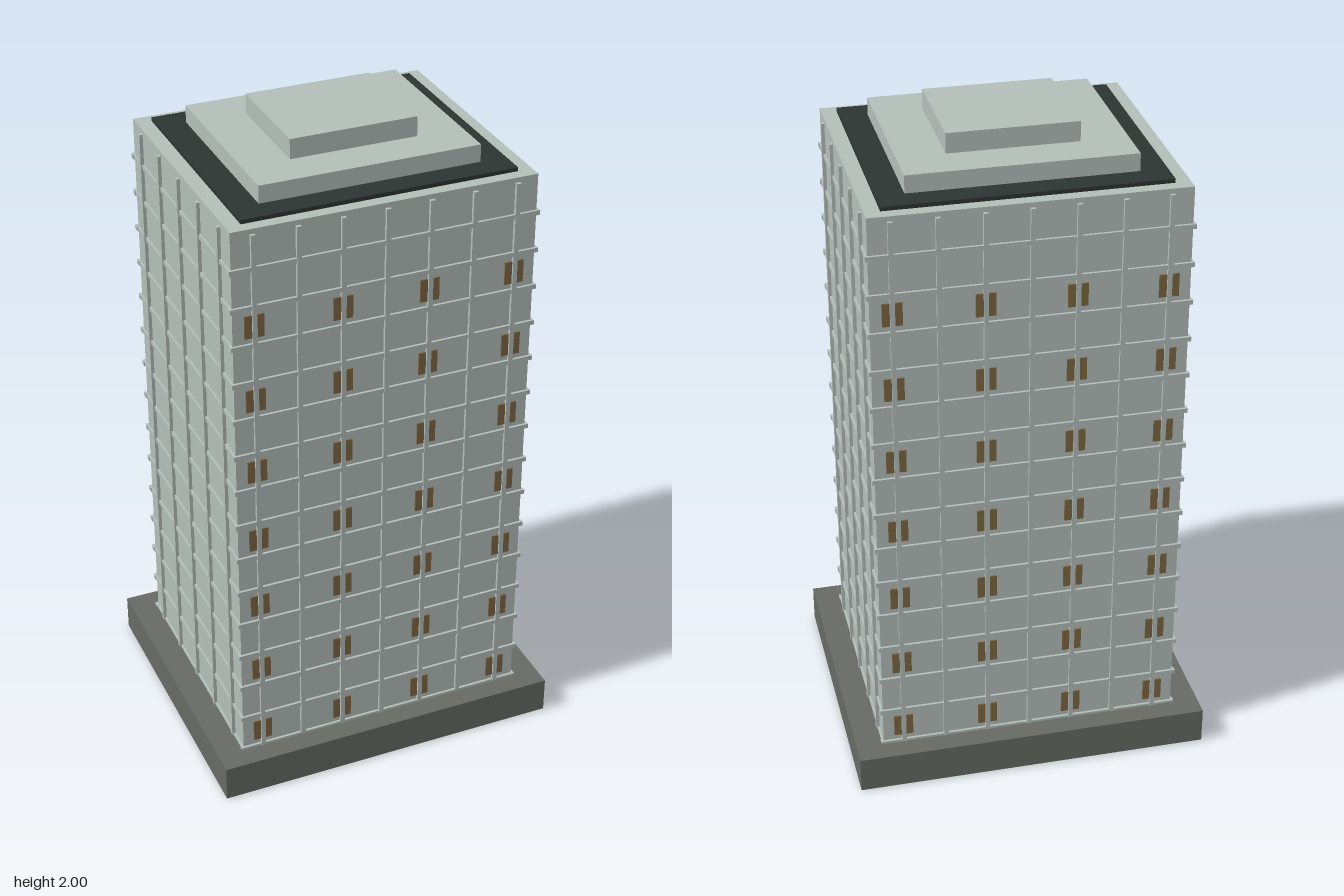
import * as THREE from 'three';

const W = 0.786, D = 0.912;          // tower footprint
const BASE_TOP = 0.115, TOP = 1.875; // wall foot and roof level
const FLOORS = 15, FLOOR = (TOP - BASE_TOP) / FLOORS;

export function createModel() {
  const wall = new THREE.MeshStandardMaterial({ color: 0xb4bfba });
  const stone = new THREE.MeshStandardMaterial({ color: 0x676b64 });
  const roofing = new THREE.MeshStandardMaterial({ color: 0x2d3533 });
  const bronze = new THREE.MeshStandardMaterial({ color: 0x7e6744 });
  wall.name = 'paleWall';
  stone.name = 'darkStone';
  roofing.name = 'darkRoofing';
  bronze.name = 'bronzeGlass';

  const building = new THREE.Group();
  building.name = 'building';

  // Box given by its size and the centre of its bottom face
  function box(name, material, [w, h, d], [x, y, z]) {
    const geometry = new THREE.BoxGeometry(w, h, d).translate(0, h / 2, 0);
    const mesh = new THREE.Mesh(geometry, material);
    mesh.name = name;
    mesh.position.set(x, y, z);
    building.add(mesh);
  }

  // Main masses; the tower shaft reaches down through the plinth
  box('plinth', stone, [0.933, BASE_TOP - 0.002, 1.082], [0, 0.002, 0]);
  box('tower', wall, [W, TOP, D], [0, 0, 0]);
  box('roofDeck', roofing, [0.714, 0.012, 0.822], [0, TOP, 0]);
  box('lowerPenthouse', wall, [0.57, 0.055, 0.662], [0, TOP + 0.01, 0]);
  box('upperPenthouse', wall, [0.332, 0.06, 0.383], [0, 1.94, 0]);

  for (const side of [-1, 1]) {
    // Vertical fins: five on the narrow faces, seven on the wide ones
    const finHeight = 1.86 - BASE_TOP;
    for (let i = -2; i <= 2; i++) {
      box('narrowFaceFin', wall, [0.014, finHeight, 0.02], [i * 0.158, BASE_TOP, side * D / 2]);
    }
    for (let i = -3; i <= 3; i++) {
      box('wideFaceFin', wall, [0.02, finHeight, 0.014], [side * W / 2, BASE_TOP, i * 0.131]);
    }

    // Floor bands
    for (let k = 0; k < FLOORS; k++) {
      const y = BASE_TOP + k * FLOOR - 0.007;
      box('narrowFaceBand', wall, [W + 0.004, 0.014, 0.012], [0, y, side * D / 2]);
      box('wideFaceBand', wall, [0.016, 0.014, D + 0.016], [side * W / 2, y, 0]);
    }

    // Bronze windows behind every other fin, on every other floor
    for (let k = 0; k < FLOORS; k += 2) {
      if (k === 14) continue;
      for (let i = -3; i <= 3; i += 2) {
        const y = BASE_TOP + (k + 0.5) * FLOOR - 0.035;
        box('bronzeWindow', bronze, [0.009, 0.07, 0.058], [side * W / 2, y, i * 0.131]);
      }
    }
  }

  // The whole building stands turned on its site
  building.rotation.y = -Math.PI / 12;
  const model = new THREE.Group();
  model.name = 'officeTower';
  model.add(building);
  return model;
}
